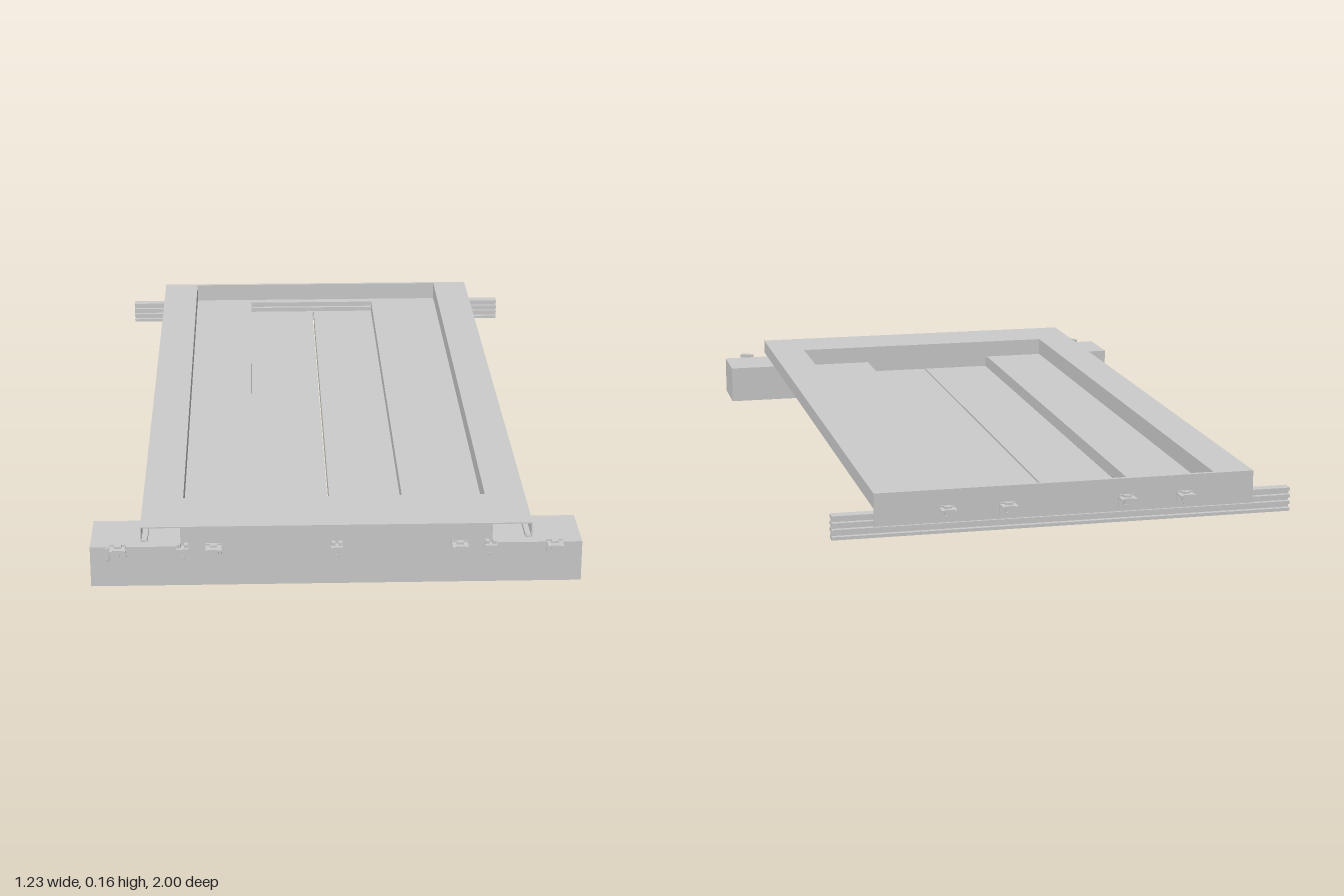
import * as THREE from 'three';

const material = new THREE.MeshStandardMaterial({ color: 0xcccccc, side: THREE.DoubleSide, flatShading: true });

function add(parent, name, geometry) {
  const mesh = new THREE.Mesh(geometry, material);
  mesh.name = name;
  parent.add(mesh);
  return mesh;
}

// Box given by its limits on each axis
function box(parent, name, x0, x1, y0, y1, z0, z1) {
  const mesh = add(parent, name, new THREE.BoxGeometry(x1 - x0, y1 - y0, z1 - z0));
  mesh.position.set((x0 + x1) / 2, (y0 + y1) / 2, (z0 + z1) / 2);
  return mesh;
}

function extrude(points, depth) {
  const shape = new THREE.Shape(points.map(([x, y]) => new THREE.Vector2(x, y)));
  return new THREE.ExtrudeGeometry(shape, { depth, bevelEnabled: false });
}

// Hook seen from the side: a plate on the wall, an arm and an upturned tip
function makeHook(name, x, y, z, facing) {
  const hook = new THREE.Group();
  hook.name = name;
  box(hook, 'hookPlate', -0.02, 0.02, -0.026, 0.008, 0, 0.004);
  box(hook, 'hookArm', -0.02, 0.02, 0, 0.004, 0, 0.035);
  box(hook, 'hookTip', -0.012, 0.012, -0.006, 0.006, 0.031, 0.036);
  box(hook, 'hookBlock', -0.009, 0.009, -0.014, 0.009, 0.004, 0.018);
  const bolt = add(hook, 'hookBolt', new THREE.CylinderGeometry(0.005, 0.005, 0.012, 12));
  bolt.rotation.x = Math.PI / 2;
  bolt.position.set(0, -0.02, 0.008);
  hook.position.set(x, y, z);
  if (facing < 0) hook.rotation.y = Math.PI;
  return hook;
}

export function createModel() {
  const model = new THREE.Group();
  model.name = 'panelFrame';

  // Deep beam across the front
  box(model, 'frontBeam', -0.613, 0.613, 0, 0.106, 0.8, 0.96);

  // Side rails: folded channels open underneath, with a small outer lip
  const railProfile = [
    [0.385, 0.108], [0.385, 0.159], [0.487, 0.159], [0.487, 0.12], [0.469, 0.12],
    [0.469, 0.13], [0.472, 0.13], [0.472, 0.123], [0.484, 0.123], [0.484, 0.156],
    [0.388, 0.156], [0.388, 0.108],
  ];
  for (const side of [-1, 1]) {
    const rail = add(model, side > 0 ? 'leftRail' : 'rightRail',
      extrude(railProfile.map(([x, y]) => [x * side, y]), 1.92));
    rail.position.z = -0.96;
  }

  // Front board between the rails
  box(model, 'frontBoard', -0.385, 0.385, 0.106, 0.159, 0.78, 0.96);

  // Thin back plate with a narrow folded top
  box(model, 'backPlate', -0.487, 0.487, 0.075, 0.159, -0.964, -0.96);
  box(model, 'backPlateLip', -0.385, 0.385, 0.156, 0.159, -0.96, -0.953);

  // Planks: outer pair raised, inner pair lowered
  const planks = [
    ['rightOuterPlank', -0.405, -0.21, 0.075, 0.11],
    ['rightInnerPlank', -0.21, -0.012, 0.037, 0.075],
    ['leftInnerPlank', -0.007, 0.192, 0.037, 0.075],
    ['leftOuterPlank', 0.18, 0.405, 0.075, 0.11],
  ];
  for (const [name, x0, x1, y0, y1] of planks) box(model, name, x0, x1, y0, y1, -0.922, 0.8);

  // Slotted bar across the back: a web with ribs on both faces
  const bar = new THREE.Group();
  bar.name = 'slottedBackBar';
  box(bar, 'barWeb', -0.59, 0.59, 0.045, 0.106, -0.945, -0.939);
  for (const y of [0.045, 0.063, 0.08, 0.098]) {
    box(bar, 'barRib', -0.59, 0.59, y, y + 0.008, -0.957, -0.928);
  }
  model.add(bar);

  // Hooks along the front and back
  for (const x of [-0.543, -0.306, 0.306, 0.543]) model.add(makeHook('frontHook', x, 0.106, 0.96, 1));
  for (const x of [-0.305, -0.152, 0.152, 0.305]) model.add(makeHook('backHook', x, 0.11, -0.964, -1));

  // Small clips with two bolt heads below each
  for (const x of [-0.383, 0, 0.383]) {
    const clip = new THREE.Group();
    clip.name = 'frontClip';
    box(clip, 'clipArm', -0.015, 0.015, 0.103, 0.108, 0.96, 0.984);
    for (const s of [-1, 1]) box(clip, 'clipEar', s * 0.009 - 0.005, s * 0.009 + 0.005, 0.102, 0.117, 0.96, 0.975);
    for (const y of [0.074, 0.092]) {
      const bolt = add(clip, 'clipBolt', new THREE.CylinderGeometry(0.005, 0.005, 0.004, 16));
      bolt.rotation.x = Math.PI / 2;
      bolt.position.set(0, y, 0.961);
    }
    clip.position.x = x;
    model.add(clip);
  }

  // Slot and round hole covers near the beam ends
  const slot = add(model, 'slotCover', new THREE.CapsuleGeometry(0.005, 0.028, 4, 12));
  slot.scale.z = 0.2;
  slot.position.set(-0.57, 0.086, 0.96);
  const plug = add(model, 'holeCover', new THREE.CylinderGeometry(0.006, 0.006, 0.002, 16));
  plug.rotation.x = Math.PI / 2;
  plug.position.set(0.568, 0.074, 0.96);

  return model;
}
